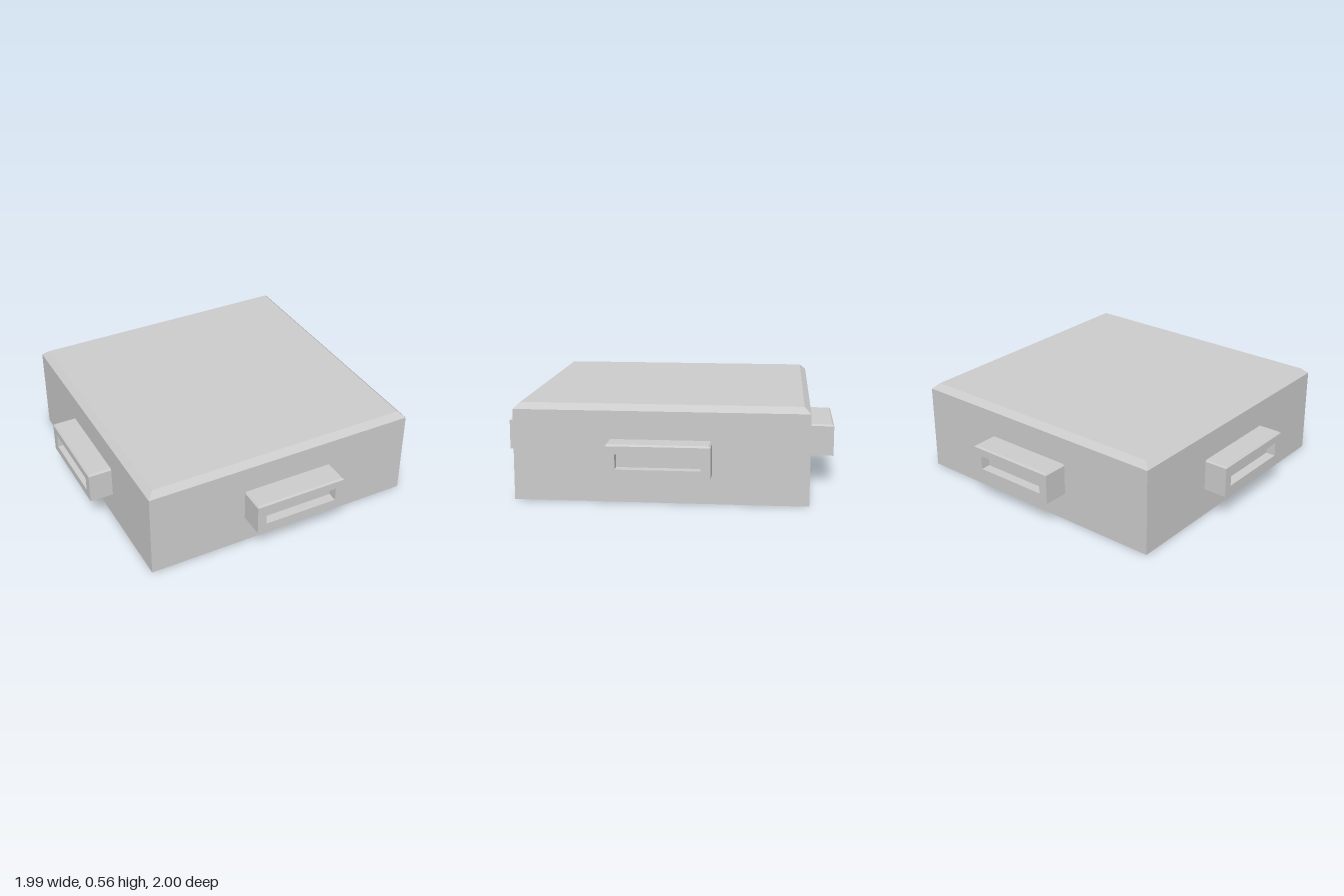
import * as THREE from 'three';

const material = new THREE.MeshStandardMaterial({ color: 0xcccccc, flatShading: true });

function addMesh(parent, geometry, name) {
  const mesh = new THREE.Mesh(geometry, material);
  mesh.name = name;
  parent.add(mesh);
  return mesh;
}

// Block from y0 up to y2 whose edges slope inwards above y1
function chamferedBlock(width, depth, y0, y1, y2, inset) {
  const geometry = new THREE.BoxGeometry(width, 2, depth, 1, 2, 1);
  const p = geometry.attributes.position;
  for (let i = 0; i < p.count; i++) {
    const level = Math.round(p.getY(i));
    p.setY(i, [y0, y1, y2][level + 1]);
    if (level === 1) {
      p.setX(i, p.getX(i) - Math.sign(p.getX(i)) * inset);
      p.setZ(i, p.getZ(i) - Math.sign(p.getZ(i)) * inset);
    }
  }
  const flat = geometry.toNonIndexed();
  flat.computeVertexNormals();
  return flat;
}

function rectangle(path, x, y0, y1) {
  path.moveTo(-x, y0);
  path.lineTo(x, y0);
  path.lineTo(x, y1);
  path.lineTo(-x, y1);
  path.closePath();
  return path;
}

// Slotted connector growing along +z from the wall at z = 0
function createPort(name, width, length) {
  const port = new THREE.Group();
  port.name = name;
  const bottom = 0.175, shoulder = 0.357, top = 0.367, chamfer = 0.01;
  const slotBottom = 0.225, slotTop = 0.31, slotDepth = 0.06;
  const slotHalf = width / 2 - 0.055;

  // Housing with the slot opening
  const outline = rectangle(new THREE.Shape(), width / 2, bottom, shoulder);
  outline.holes.push(rectangle(new THREE.Path(), slotHalf, slotBottom, slotTop));
  addMesh(port, new THREE.ExtrudeGeometry(outline, { depth: length, bevelEnabled: false }), 'portHousing');

  // Bevelled top, its rear edge tucked into the wall
  const cap = chamferedBlock(width, length + 0.02, shoulder - 0.002, shoulder, top, chamfer);
  addMesh(port, cap, 'portTop').position.z = length / 2 - 0.01;

  // Inner end of the slot
  const back = new THREE.PlaneGeometry(slotHalf * 2, slotTop - slotBottom);
  addMesh(port, back, 'slotBack').position.set(0, (slotBottom + slotTop) / 2, length - slotDepth);
  return port;
}

export function createModel() {
  const model = new THREE.Group();
  model.name = 'squareModule';

  // Main body with bevelled top edges
  addMesh(model, chamferedBlock(1.7, 1.69, 0, 0.53, 0.565, 0.038), 'body');

  // One connector on each side: name, width, length, position, turn
  const ports = [
    ['frontPort', 0.575, 0.155, 0.037, 0.845, 0],
    ['backPort', 0.575, 0.155, 0.037, -0.845, Math.PI],
    ['leftPort', 0.59, 0.143, 0.85, 0, Math.PI / 2],
    ['rightPort', 0.59, 0.143, -0.85, 0, -Math.PI / 2],
  ];
  for (const [name, width, length, x, z, turn] of ports) {
    const port = createPort(name, width, length);
    port.position.set(x, 0, z);
    port.rotation.y = turn;
    model.add(port);
  }
  return model;
}
